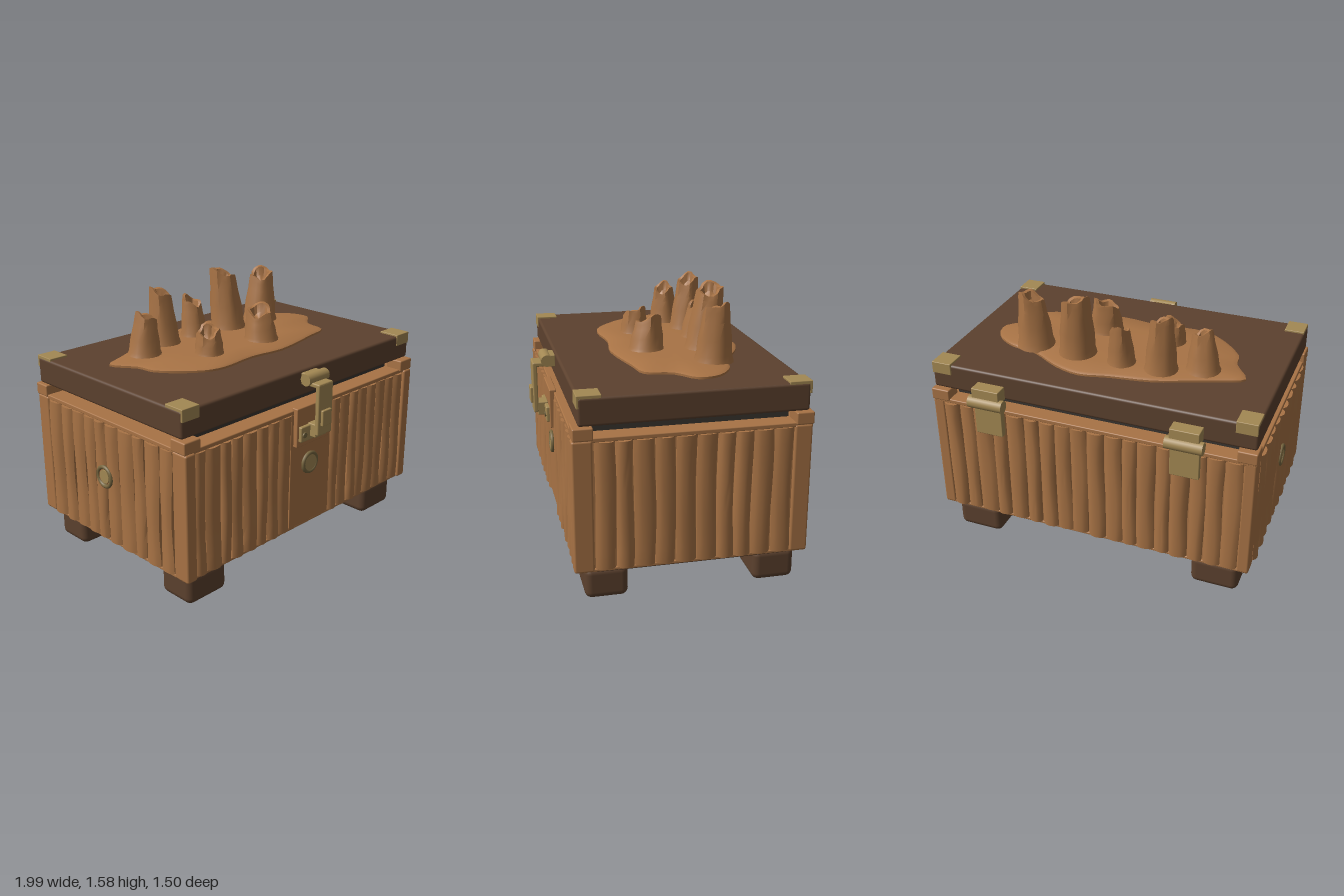
import * as THREE from 'three';
import { toCreasedNormals } from 'three/addons/utils/BufferGeometryUtils.js';
import { RoundedBoxGeometry } from 'three/addons/geometries/RoundedBoxGeometry.js';

const mat = (name, color) => {
  const m = new THREE.MeshStandardMaterial({ color });
  m.name = name;
  return m;
};

export function createModel() {
  const wood = mat('wood', 0xa87345);
  const darkWood = mat('dark wood', 0x5c412e);
  const brass = mat('brass', 0xa38853);
  const bronze = mat('dark bronze', 0x77663f);
  const lining = mat('dark lining', 0x3a352f);

  const root = new THREE.Group();
  root.name = 'chest';
  let seed = 7;
  const rand = () => (seed = (seed * 16807) % 2147483647) / 2147483647;

  const add = (name, geo, material, parent = root) => {
    const m = new THREE.Mesh(geo, material);
    m.name = name;
    parent.add(m);
    return m;
  };
  // Box given by its limits, optionally rounded
  const box = (name, material, x0, x1, y0, y1, z0, z1, r = 0, parent = root) => {
    const s = [x1 - x0, y1 - y0, z1 - z0];
    const g = r ? new RoundedBoxGeometry(...s, 3, r) : new THREE.BoxGeometry(...s);
    const m = add(name, g, material, parent);
    m.position.set((x0 + x1) / 2, (y0 + y1) / 2, (z0 + z1) / 2);
    return m;
  };
  const rod = (name, material, r, len, x, y, z, axis) => {
    const g = new THREE.CylinderGeometry(r, r, len, 24);
    if (axis === 'x') g.rotateZ(Math.PI / 2);
    if (axis === 'z') g.rotateX(Math.PI / 2);
    add(name, g, material).position.set(x, y, z);
  };
  // Skin over rings listed from bottom to top, closed by a centre point
  const loft = (rings, centre, crease) => {
    const n = rings[0].length, pos = rings.flat(2), idx = [];
    pos.push(...centre);
    for (let i = 0; i < rings.length - 1; i++) {
      for (let j = 0; j < n; j++) {
        const a = i * n + j, b = i * n + (j + 1) % n;
        idx.push(a, a + n, b, b, a + n, b + n);
      }
    }
    const last = (rings.length - 1) * n;
    for (let j = 0; j < n; j++) idx.push(rings.length * n, last + (j + 1) % n, last + j);
    const g = new THREE.BufferGeometry();
    g.setAttribute('position', new THREE.Float32BufferAttribute(pos, 3));
    g.setIndex(idx);
    return toCreasedNormals(g, crease);
  };

  // Base and feet
  box('base', darkWood, -0.91, 0.91, 0.16, 0.22, -0.575, 0.53, 0.01);
  for (const x of [-0.765, 0.77]) {
    for (const z of [-0.5, 0.455]) {
      box('foot', darkWood, x - 0.143, x + 0.143, 0, 0.185, z - 0.12, z + 0.12, 0.04);
    }
  }

  // Body core, rails and corner posts
  box('bodyCore', wood, -0.955, 0.955, 0.2, 0.945, -0.645, 0.605);
  box('bottomRail', wood, -0.97, 0.97, 0.198, 0.215, -0.662, 0.622, 0.005);
  box('topRail', wood, -0.97, 0.97, 0.932, 0.958, -0.665, 0.625, 0.006);
  for (const s of [-1, 1]) {
    for (const [z0, z1] of [[-0.665, -0.565], [0.53, 0.64]]) {
      const [x0, x1] = s > 0 ? [0.905, 0.975] : [-0.975, -0.905];
      box('cornerPost', wood, x0, x1, 0.2, 0.945, z0, z1, 0.012);
      const [c0, c1] = s > 0 ? [0.865, 0.978] : [-0.978, -0.865];
      box('cornerCap', wood, c0, c1, 0.945, 1.015, z0 - 0.005, z1 - 0.005, 0.008);
    }
  }
  box('lip', lining, -0.86, 0.86, 0.95, 1.003, -0.565, 0.515);

  // Uneven bark-like slats
  const slat = (w) => {
    const g = new THREE.BoxGeometry(w, 0.722, 0.03, 6, 8, 1);
    const p = g.attributes.position;
    const phase = rand() * 6, skew = (rand() - 0.5) * 0.02, swell = 0.017 + rand() * 0.01;
    for (let i = 0; i < p.count; i++) {
      const x = p.getX(i), y = p.getY(i), u = x / w + 0.5;
      p.setX(i, x * 0.97 + 0.006 * Math.sin(y * 8 + phase) * (u > 0.5 ? 1 : 0.4));
      if (p.getZ(i) > 0) {
        const wave = 0.003 * Math.sin(y * 11 + phase + u * 3);
        p.setZ(i, swell * Math.sqrt(Math.max(0, Math.sin(Math.PI * u))) + skew * (u - 0.5) + wave);
      }
    }
    return toCreasedNormals(g, 0.7);
  };
  const slatRow = (name, from, to, count, place) => {
    const row = new THREE.Group();
    row.name = name;
    root.add(row);
    const edges = [from];
    for (let i = 1; i < count; i++) edges.push(from + (to - from) * (i + (rand() - 0.5) * 0.25) / count);
    edges.push(to);
    for (let i = 0; i < count; i++) {
      const m = add('slat', slat(edges[i + 1] - edges[i]), wood, row);
      m.position.set((edges[i] + edges[i + 1]) / 2, 0.574, 0);
    }
    place(row);
  };
  slatRow('frontSlatsRight', -0.905, -0.16, 8, (r) => r.position.setZ(0.617));
  slatRow('frontSlatsLeft', 0.19, 0.905, 8, (r) => r.position.setZ(0.617));
  slatRow('backSlats', -0.91, 0.91, 18, (r) => { r.rotation.y = Math.PI; r.position.z = -0.659; });
  for (const s of [-1, 1]) {
    slatRow('sideSlats', -0.54, 0.54, 10, (r) => {
      r.rotation.y = s * Math.PI / 2;
      r.position.set(s * 0.966, 0, -0.018);
    });
  }
  box('frontBoard', wood, -0.16, 0.19, 0.213, 0.934, 0.6, 0.625, 0.004);

  // Lid with corner brackets
  box('lid', darkWood, -0.968, 0.968, 1.02, 1.175, -0.645, 0.603, 0.016);
  for (const s of [-1, 1]) {
    for (const f of [-1, 1]) {
      const bracket = new THREE.Group();
      bracket.name = 'lidBracket';
      bracket.position.set(s * 0.905, 0, f > 0 ? 0.54 : -0.59);
      root.add(bracket);
      box('bracketTop', brass, -0.06, 0.06, 1.165, 1.186, -0.063, 0.063, 0.004, bracket);
      const [z0, z1] = f > 0 ? [0.052, 0.068] : [-0.064, -0.048];
      box('bracketFace', brass, -0.06, 0.06, 1.115, 1.186, z0, z1, 0.004, bracket);
    }
  }

  // Front latch
  box('latchBacking', wood, -0.14, 0.147, 0.735, 0.972, 0.61, 0.652, 0.006);
  box('latchPlate', brass, -0.125, 0.13, 0.768, 0.862, 0.64, 0.672, 0.008);
  for (const x of [-0.1, 0.105]) rod('latchRivet', bronze, 0.016, 0.012, x, 0.812, 0.674, 'z');
  box('latchStaple', brass, -0.05, 0.05, 0.79, 0.87, 0.65, 0.712, 0.006);
  box('latchMount', brass, -0.06, 0.065, 1.09, 1.16, 0.6, 0.64, 0.005);
  rod('latchBarrel', brass, 0.035, 0.17, 0.003, 1.132, 0.652, 'x');
  box('latchArm', brass, -0.06, 0.062, 1.092, 1.118, 0.66, 0.736, 0.008);
  box('latchStrap', brass, -0.06, 0.062, 0.81, 1.115, 0.709, 0.737, 0.008);
  box('latchTab', brass, -0.038, 0.04, 0.867, 0.962, 0.73, 0.753, 0.006);

  // Round lock on the front and ring on the right side
  rod('lockDisc', brass, 0.055, 0.03, 0.003, 0.6, 0.625, 'z');
  add('lockRim', new THREE.TorusGeometry(0.058, 0.012, 10, 32), bronze).position.set(0.003, 0.6, 0.632);
  rod('sideDisc', brass, 0.04, 0.03, -0.978, 0.615, -0.03, 'x');
  const ring = add('sideRing', new THREE.TorusGeometry(0.058, 0.012, 10, 32), bronze);
  ring.position.set(-0.988, 0.615, -0.03);
  ring.rotation.y = Math.PI / 2;

  // Back hinges
  for (const x of [-0.588, 0.593]) {
    rod('hingeBarrel', brass, 0.037, 0.215, x, 1.013, -0.712, 'x');
    box('hingeUpperLeaf', brass, x - 0.085, x + 0.085, 1.02, 1.105, -0.725, -0.64, 0.005);
    box('hingeLowerLeaf', brass, x - 0.085, x + 0.085, 0.8, 1.01, -0.705, -0.665, 0.005);
  }

  // Rough slab on the lid
  const outline = [
    [-0.78, -0.21], [-0.66, -0.27], [-0.46, -0.35], [-0.3, -0.41], [-0.05, -0.45], [0.12, -0.485],
    [0.28, -0.44], [0.47, -0.33], [0.63, -0.3], [0.76, -0.2], [0.78, -0.08], [0.66, 0.03],
    [0.62, 0.18], [0.46, 0.22], [0.13, 0.283], [-0.1, 0.257], [-0.35, 0.28], [-0.48, 0.24],
    [-0.67, 0.05], [-0.69, -0.06]];
  const curve = new THREE.CatmullRomCurve3(outline.map(([x, z]) => new THREE.Vector3(x, 0, z)), true);
  const edge = curve.getPoints(60).slice(0, 60);
  const slabRing = (k, y) => edge.map((p) => [p.x * k, y, -0.09 + (p.z + 0.09) * k]);
  add('slab', loft([slabRing(1, 1.17), slabRing(1, 1.187), slabRing(0.96, 1.196), slabRing(0.6, 1.2)],
    [0, 1.203, -0.09], 0.9), wood);

  // Broken hollow stumps: base x, z, base radius, rim x, z, rim radius, height, angle of the peak
  const stumps = [
    [-0.53, -0.2, 0.095, -0.515, -0.19, 0.068, 1.46, 3.6],
    [-0.305, -0.28, 0.092, -0.312, -0.3, 0.074, 1.55, 3.9],
    [-0.065, -0.28, 0.08, -0.062, -0.3, 0.064, 1.45, 4.4],
    [0.215, -0.26, 0.105, 0.205, -0.3, 0.09, 1.585, 3.7],
    [0.49, -0.245, 0.105, 0.505, -0.25, 0.082, 1.54, 5.8],
    [-0.255, 0.06, 0.082, -0.26, 0.055, 0.075, 1.37, 5.7],
    [0.17, 0.075, 0.1, 0.165, 0.06, 0.085, 1.415, 5.5]];
  for (const [bx, bz, br, tx, tz, tr, top, peak] of stumps) {
    const n = 18, knobs = 5 + Math.floor(rand() * 2), phase = rand() * 6;
    const ringAt = (t, k, lower, jag) => Array.from({ length: n }, (_, j) => {
      const a = j / n * Math.PI * 2;
      const lump = 1 + t * 0.09 * Math.cos(knobs * a + phase);
      const r = (br + (tr - br) * t) * k * lump;
      const drop = jag * (0.026 * (1 - Math.cos(a - peak)) + 0.012 * (1 + Math.sin(3 * a + phase)));
      const y = 1.19 + (top - 1.19) * t - lower - drop;
      return [bx + (tx - bx) * t + r * Math.cos(a), y, bz + (tz - bz) * t + r * Math.sin(a)];
    });
    const rings = [
      ringAt(0, 1.1, 0, 0), ringAt(0.12, 1, 0, 0), ringAt(0.4, 1, 0, 0.2), ringAt(0.7, 0.9, 0, 0.6),
      ringAt(0.9, 0.88, 0, 0.9), ringAt(1, 0.85, 0, 1), ringAt(1, 0.62, 0.005, 1), ringAt(1, 0.5, 0.06, 0.8)];
    add('stump', loft(rings, [tx, top - 0.1, tz], 0.7), wood);
  }
  return root;
}
